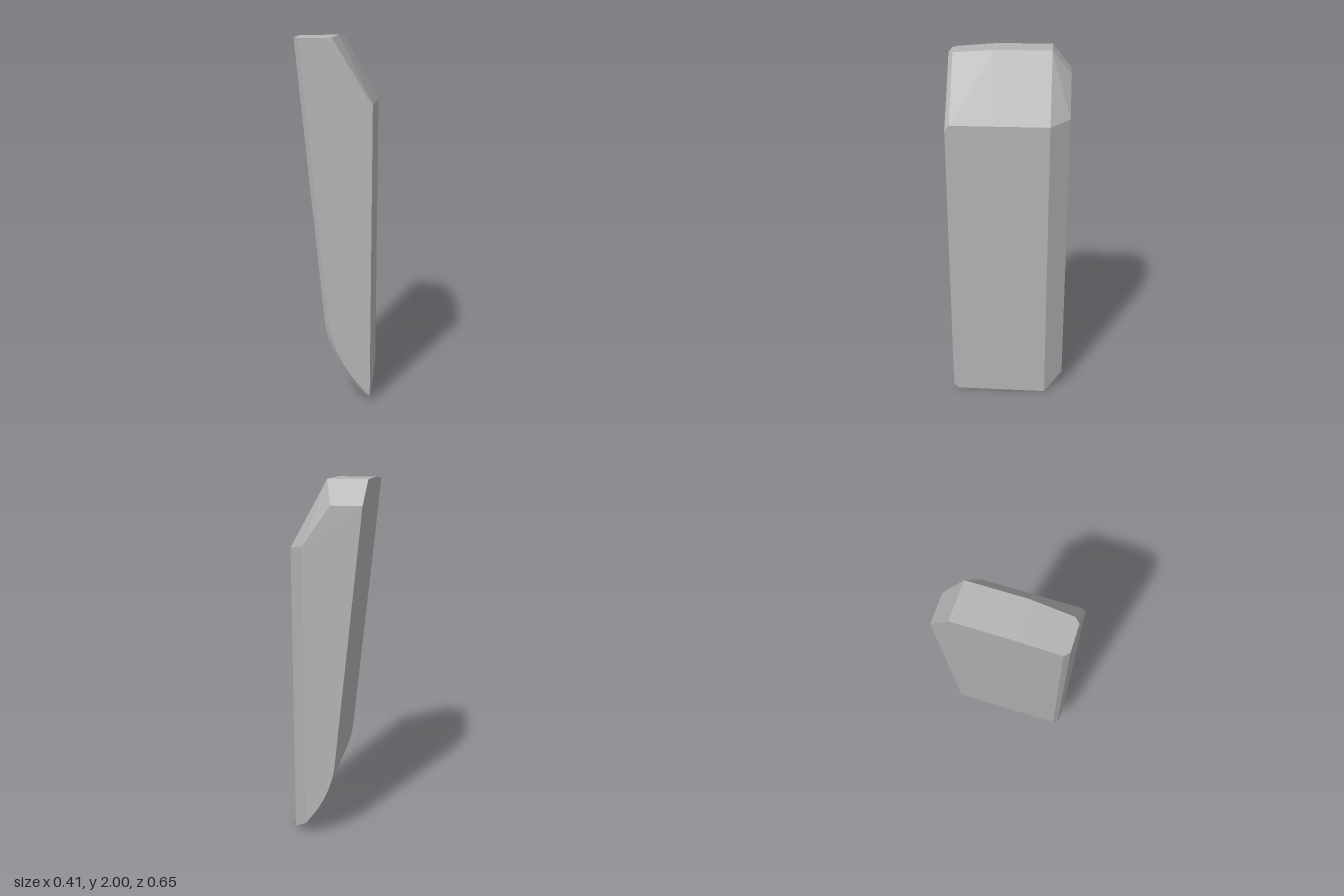
import * as THREE from 'three';
import { toCreasedNormals } from 'three/addons/utils/BufferGeometryUtils.js';

const CURVE_STEPS = 24;

// Leaning side: a straight edge that bends into this curve at the foot
const foot = new THREE.QuadraticBezierCurve(
  new THREE.Vector2(-0.052, 0.47),
  new THREE.Vector2(-0.024, 0.215),
  new THREE.Vector2(0.2, 0.003)
);
const leanX = (y) => -0.052 - 0.153 * (y - 0.47) / 1.53;

// One cross-section, counter-clockwise as seen from the front
function section({ top, topX, side, shoulder, end = 1, inset = 0 }) {
  const ring = [[leanX(top) + inset, top]];
  for (let i = 0; i <= CURVE_STEPS; i++) {
    const t = end * i / CURVE_STEPS;
    const p = foot.getPoint(t), d = foot.getTangent(t);
    ring.push([p.x - d.y * inset, p.y + d.x * inset]);
  }
  ring[ring.length - 1][0] = side;
  ring.push([side, shoulder], [topX, top]);
  return ring;
}

// Sections from front to back; flip picks the other fold diagonal
const sections = [
  { z: 0.325, top: 1.98, topX: -0.035, side: 0.203, shoulder: 1.62, end: 0.963, inset: 0.025 },
  { z: 0.3, top: 1.983, topX: -0.009, side: 0.203, shoulder: 1.648 },
  { z: 0.08, top: 2, topX: 0.005, side: 0.203, shoulder: 1.648 },
  { z: -0.222, top: 2, topX: 0.005, side: 0.203, shoulder: 1.648, flip: true },
  { z: -0.325, top: 1.875, topX: -0.03, side: 0.118, shoulder: 1.67, end: 0.8 },
];

function loft() {
  const positions = [], index = [];
  const n = CURVE_STEPS + 4;
  for (const s of sections) {
    for (const [x, y] of section(s)) positions.push(x, y, s.z);
  }
  // Skin between neighbouring sections
  for (let i = 0; i < sections.length - 1; i++) {
    for (let j = 0; j < n; j++) {
      const a = i * n + j, b = i * n + (j + 1) % n, c = a + n, d = b + n;
      if (sections[i].flip) index.push(a, c, b, b, c, d);
      else index.push(a, c, d, a, d, b);
    }
  }
  // Flat front and back
  const last = (sections.length - 1) * n;
  for (let j = 1; j < n - 1; j++) {
    index.push(0, j, j + 1);
    index.push(last, last + j + 1, last + j);
  }
  const geometry = new THREE.BufferGeometry();
  geometry.setAttribute('position', new THREE.Float32BufferAttribute(positions, 3));
  geometry.setIndex(index);
  return toCreasedNormals(geometry, 0.07);
}

export function createModel() {
  const group = new THREE.Group();
  group.name = 'bevelledPillar';
  const grey = new THREE.MeshStandardMaterial({ color: 0xb4b4b4 });
  grey.name = 'grey';
  const body = new THREE.Mesh(loft(), grey);
  body.name = 'pillarBody';
  group.add(body);
  return group;
}
